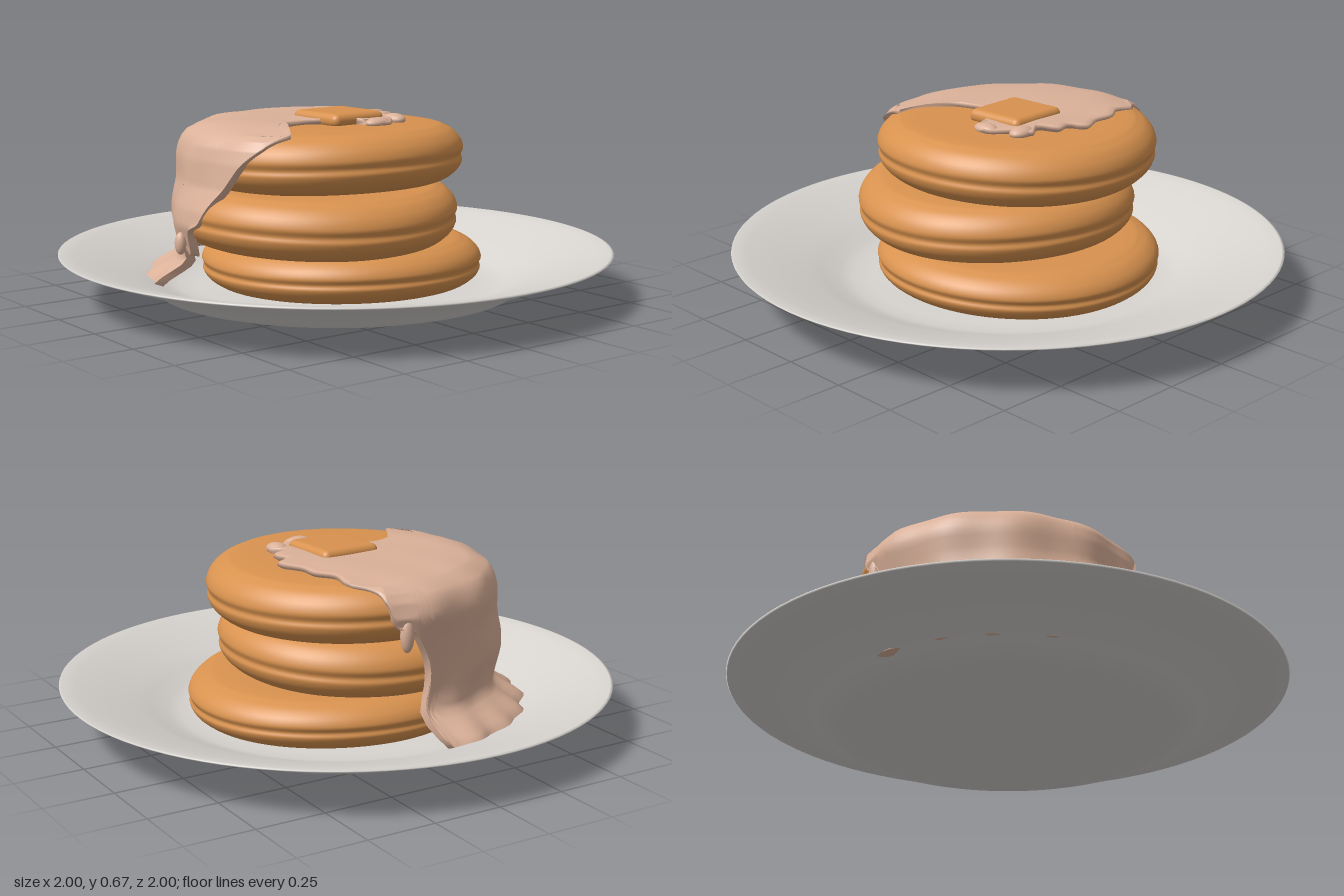
import * as THREE from 'three';
import { mergeVertices } from 'three/addons/utils/BufferGeometryUtils.js';
import { RoundedBoxGeometry } from 'three/addons/geometries/RoundedBoxGeometry.js';

const china = new THREE.MeshStandardMaterial({ color: 0xd8d4d0, name: 'china' });
const batter = new THREE.MeshStandardMaterial({ color: 0xd8924f, name: 'golden batter' });
const sauce = new THREE.MeshStandardMaterial({ color: 0xdbb199, name: 'cream sauce', side: THREE.DoubleSide });

const v2 = (list) => list.map(([x, y]) => new THREE.Vector2(x, y));

function mesh(name, geometry, material) {
  const m = new THREE.Mesh(geometry, material);
  m.name = name;
  return m;
}

// weld vertices and rebuild smooth normals
function smooth(geometry) {
  geometry.deleteAttribute('uv');
  geometry.deleteAttribute('normal');
  const g = mergeVertices(geometry, 1e-4);
  g.computeVertexNormals();
  return g;
}

// linear lookup in rows of [key, ...values], keys descending
function lookup(rows, key) {
  let i = 0;
  while (i < rows.length - 2 && key < rows[i + 1][0]) i++;
  const [a, b] = [rows[i], rows[i + 1]];
  const t = THREE.MathUtils.clamp((a[0] - key) / (a[0] - b[0]), 0, 1);
  return a.map((v, k) => THREE.MathUtils.lerp(v, b[k], t));
}

function plate() {
  const profile = v2([[0, 0], [0.3, 0.004], [0.52, 0.011], [0.6, 0.018], [0.65, 0.032], [0.69, 0.058],
    [0.74, 0.083], [0.85, 0.122], [0.95, 0.156], [0.995, 0.172], [1, 0.178], [0.99, 0.18],
    [0.94, 0.172], [0.84, 0.142], [0.74, 0.11], [0.68, 0.088], [0.62, 0.062], [0.57, 0.05], [0.5, 0.046], [0, 0.044]]);
  return mesh('plate', new THREE.LatheGeometry(profile, 96), china);
}

// puffy disc with a soft groove around its side and a slightly uneven shape
function pancake(name, x, z, bottom, height, radius, seed) {
  const outline = new THREE.SplineCurve(v2([[0, 0], [0.7, 0.01], [0.86, 0.05], [0.955, 0.2], [0.993, 0.36],
    [0.985, 0.47], [1, 0.6], [0.965, 0.78], [0.88, 0.93], [0.72, 0.99], [0, 1]]));
  const profile = outline.getPoints(60).map((p) => new THREE.Vector2(Math.max(0, p.x * radius), p.y * height));
  profile[0].x = profile[60].x = 0;
  const geometry = new THREE.LatheGeometry(profile, 80);
  const pos = geometry.attributes.position;
  for (let i = 0; i < pos.count; i++) {
    const px = pos.getX(i), pz = pos.getZ(i);
    const a = Math.atan2(pz, px), r = Math.hypot(px, pz) / radius;
    const k = 1 + 0.008 * Math.sin(3 * a + seed);
    pos.setXYZ(i, px * k, pos.getY(i) + 0.007 * r * r * Math.sin(2 * a + seed * 2), pz * k);
  }
  const m = mesh(name, smooth(geometry), batter);
  m.position.set(x, bottom, z);
  return m;
}

// sauce sheet: spreads over the top, hangs down the front left and pools on the plate
function sauceSheet() {
  // edge of the sheet on top (x, z) and the height its hanging part reaches
  const edge = [
    [-0.48, -0.13, 0.6], [-0.42, -0.21, 0.63], [-0.34, -0.21, 0.63], [-0.27, -0.25, 0.63], [-0.19, -0.25, 0.63],
    [-0.1, -0.29, 0.63], [-0.06, -0.24, 0.63], [0, -0.25, 0.63], [0.04, -0.19, 0.63], [0.1, -0.22, 0.63],
    [0.13, -0.15, 0.63], [0.19, -0.09, 0.63], [0.18, -0.03, 0.63], [0.12, -0.02, 0.63], [0.03, 0.09, 0.63],
    [0, 0.14, 0.63], [0.02, 0.23, 0.63], [0.07, 0.3, 0.63], [0.13, 0.34, 0.63], [0.21, 0.35, 0.63],
    [0.17, 0.42, 0.59], [0.11, 0.425, 0.54], [0.05, 0.44, 0.45], [0, 0.45, 0.39], [-0.05, 0.45, 0.32],
    [-0.1, 0.45, 0.29], [-0.125, 0.445, 0.2], [-0.15, 0.44, 0.22], [-0.17, 0.435, 0.08], [-0.25, 0.41, 0.07],
    [-0.38, 0.31, 0.07], [-0.47, 0.17, 0.07], [-0.5, 0.05, 0.07], [-0.5, 0.01, 0.12], [-0.5, -0.03, 0.44],
    [-0.5, -0.06, 0.5], [-0.49, -0.09, 0.5],
  ];
  // wall shape: height, radius, centre x, centre z
  const wall = [
    [0.63, 0.455, -0.06, 0.01], [0.61, 0.49, -0.06, 0.01], [0.58, 0.515, -0.06, 0.01], [0.53, 0.53, -0.06, 0.01],
    [0.44, 0.52, -0.05, 0.03], [0.36, 0.525, -0.03, 0.06], [0.3, 0.53, -0.02, 0.065], [0.23, 0.525, -0.02, 0.05],
    [0.17, 0.525, -0.03, 0.03], [0.13, 0.57, -0.05, 0.03], [0.1, 0.62, -0.05, 0.03], [0.07, 0.635, -0.05, 0.03],
  ];
  const curve = new THREE.CatmullRomCurve3(edge.map(([x, z, y]) => new THREE.Vector3(x, y, z)), true);
  const columns = edge.length * 8, topRows = 14, wallRows = 26, rows = topRows + wallRows + 2;
  const cx = -0.2, cz = 0.1, points = [], index = [];
  for (let i = 0; i < columns; i++) {
    const e = curve.getPoint(i / columns);
    const low = THREE.MathUtils.clamp(e.y, 0.06, 0.63);
    const hang = THREE.MathUtils.clamp((0.63 - low) / 0.04, 0, 1);
    const angle = Math.atan2(e.z - 0.01, e.x + 0.06);
    let last;
    for (let j = 0; j <= topRows; j++) {
      const t = j / topRows;
      const x = cx + (e.x - cx) * t, z = cz + (e.z - cz) * t;
      const r = Math.hypot(x + 0.06, z - 0.01);
      const ripple = 0.004 * t * Math.sin(14 * x + 9 * z) * Math.cos(17 * z - 5 * x);
      last = [x, 0.652 - 0.03 * (r / 0.47) ** 6 + ripple, z];
      points.push(...last);
    }
    const start = last;
    for (let j = 1; j <= wallRows; j++) {
      const y = 0.63 + (low - 0.63) * j / wallRows;
      const [, radius, wx, wz] = lookup(wall, y);
      const pool = THREE.MathUtils.smoothstep(0.17 - y, 0, 0.07);
      const r = radius + 0.005 * Math.sin(angle * 13 + y * 9) + 0.012 * pool * Math.sin(angle * 22);
      last = [THREE.MathUtils.lerp(start[0], wx + r * Math.cos(angle), hang),
        THREE.MathUtils.lerp(start[1], y, hang),
        THREE.MathUtils.lerp(start[2], wz + r * Math.sin(angle), hang)];
      points.push(...last);
    }
    // rounded lip tucked back against the surface below
    const inward = hang > 0.5 ? [-0.06, 0.01] : [cx, cz];
    const length = Math.hypot(last[0] - inward[0], last[2] - inward[1]);
    for (const [out, down] of [[0.006, 0.012], [-0.03, 0.035]]) {
      const k = 1 + out / length;
      points.push(inward[0] + (last[0] - inward[0]) * k, last[1] - down * (1 - 0.6 * hang),
        inward[1] + (last[2] - inward[1]) * k);
    }
  }
  const stride = rows + 1;
  for (let i = 0; i < columns; i++) {
    const n = (i + 1) % columns;
    for (let j = 0; j < rows; j++) {
      const a = i * stride + j, b = n * stride + j;
      index.push(a, b, a + 1, b, b + 1, a + 1);
    }
  }
  const geometry = new THREE.BufferGeometry();
  geometry.setAttribute('position', new THREE.Float32BufferAttribute(points, 3));
  geometry.setIndex(index);
  return mesh('sauce', smooth(geometry), sauce);
}

// small runny bead of sauce
function bead(name, x, y, z, sx, sy, sz) {
  const m = mesh(name, new THREE.SphereGeometry(1, 20, 14), sauce);
  m.position.set(x, y, z);
  m.scale.set(sx, sy, sz);
  return m;
}

export function createModel() {
  const model = new THREE.Group();
  model.name = 'pancakeStack';
  model.add(
    plate(),
    pancake('bottomPancake', -0.015, -0.04, 0.042, 0.178, 0.51, 0.5),
    pancake('middlePancake', -0.01, 0.075, 0.208, 0.215, 0.503, 2.1),
    pancake('topPancake', -0.06, 0.015, 0.418, 0.214, 0.504, 4.0),
    sauceSheet(),
    bead('sideDrip', -0.565, 0.47, -0.07, 0.022, 0.06, 0.025),
    bead('frontDrip', -0.13, 0.235, 0.582, 0.022, 0.04, 0.02),
    bead('backCurl', 0.11, 0.64, -0.18, 0.05, 0.022, 0.035),
    bead('sideCurl', 0.165, 0.64, -0.06, 0.032, 0.02, 0.05),
  );
  // softened pat resting on the sauce
  const pat = mesh('butterPat', new RoundedBoxGeometry(0.245, 0.05, 0.235, 5, 0.024), batter);
  pat.position.set(-0.015, 0.648, -0.022);
  pat.rotation.y = 0.06;
  model.add(pat);
  return model;
}
